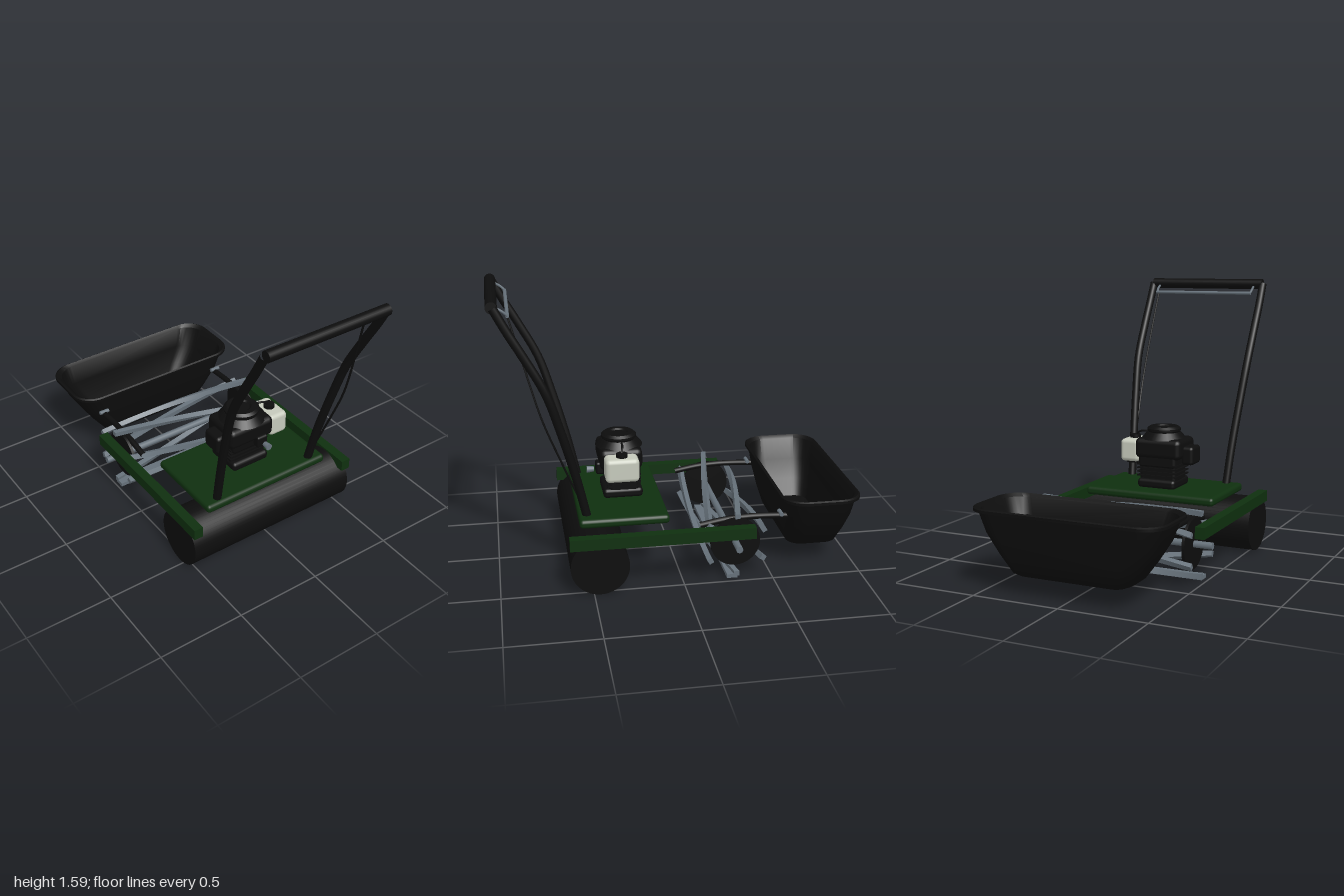
import * as THREE from 'three';
import { RoundedBoxGeometry } from 'three/addons/geometries/RoundedBoxGeometry.js';
import { toCreasedNormals } from 'three/addons/utils/BufferGeometryUtils.js';

const material = (name, color, side = THREE.FrontSide) => {
  const m = new THREE.MeshStandardMaterial({ color, side });
  m.name = name;
  return m;
};

export function createModel() {
  const model = new THREE.Group();
  model.name = 'reelMower';
  const black = material('black', 0x0d0d0d);
  const tubBlack = material('tubBlack', 0x0d0d0d, THREE.DoubleSide);
  const green = material('green', 0x0f300f);
  const steel = material('steel', 0x66717a);
  const white = material('tankWhite', 0xc6cabc);

  const add = (name, geo, mat, x = 0, y = 0, z = 0, parent = model) => {
    const mesh = new THREE.Mesh(geo, mat);
    mesh.name = name;
    mesh.position.set(x, y, z);
    parent.add(mesh);
    return mesh;
  };
  const box = (w, h, d, r = 0.01) => new RoundedBoxGeometry(w, h, d, 2, r);
  const cylX = (r, len, seg = 40) => new THREE.CylinderGeometry(r, r, len, seg).rotateZ(Math.PI / 2);
  const tube = (points, r, seg = 32, sides = 12) => new THREE.TubeGeometry(
    new THREE.CatmullRomCurve3(points.map(p => new THREE.Vector3(...p))), seg, r, sides);

  // Rear roller, deck and side rails
  add('roller', cylX(0.16, 1.07, 48), black, 0, 0.16, 0.465);
  add('deck', box(0.81, 0.05, 0.495, 0.02), green, 0, 0.353, 0.312);
  for (const s of [-1, 1]) {
    add('sideRail', new THREE.BoxGeometry(0.055, 0.065, 1.015), green, s * 0.512, 0.2975, 0.117);
  }

  // Handle: bowed legs joined by a thick grip
  for (const s of [-1, 1]) {
    add('handleLeg', tube([
      [s * 0.315, 0.36, 0.51], [s * 0.33, 0.6, 0.565], [s * 0.352, 0.88, 0.643], [s * 0.368, 1.1, 0.716],
      [s * 0.372, 1.3, 0.822], [s * 0.373, 1.44, 0.902], [s * 0.372, 1.56, 0.965]], 0.024), black);
    add('leverEnd', tube([[s * 0.32, 1.545, 0.94], [s * 0.32, 1.525, 0.91], [s * 0.315, 1.505, 0.89]], 0.007, 8, 8), steel);
  }
  add('handleGrip', cylX(0.031, 0.74, 24), black, 0, 1.56, 0.97);
  add('controlLever', cylX(0.01, 0.64, 12), steel, 0, 1.505, 0.89);
  add('controlCable', tube([
    [0.305, 1.5, 0.89], [0.325, 1.28, 0.83], [0.347, 0.95, 0.738], [0.34, 0.72, 0.65], [0.325, 0.5, 0.56]], 0.006, 24, 6), black);

  // Cutting reel: six box blades twisted about the axle
  const reel = new THREE.Group();
  reel.name = 'cuttingReel';
  reel.position.set(0, 0.21, -0.295);
  model.add(reel);
  add('axle', cylX(0.02, 1.1, 8), steel, 0, 0, 0, reel);
  const length = 0.98;
  for (let i = 0; i < 6; i++) {
    const geo = new THREE.BoxGeometry(length, 0.028, 0.03, 32, 1, 1);
    const p = geo.attributes.position;
    for (let v = 0; v < p.count; v++) {
      const a = (i + 0.5 + p.getX(v) / length) * Math.PI / 3;
      const r = 0.171 + p.getY(v), t = p.getZ(v);
      p.setXYZ(v, p.getX(v), r * Math.cos(a) - t * Math.sin(a), r * Math.sin(a) + t * Math.cos(a));
    }
    add('reelBlade', toCreasedNormals(geo, 0.6), steel, 0, 0, 0, reel);
  }
  for (const s of [-1, 1]) {
    add('reelDisc', cylX(0.14, 0.016), black, s * 0.435, 0, 0, reel);
  }
  add('bedKnife', new THREE.BoxGeometry(0.98, 0.022, 0.06), steel, 0, 0.026, -0.27);

  // Grass box: stacked rounded rectangles, rim rolled over to an inner wall
  const section = (w, d, r, y) => {
    const pts = [];
    for (let c = 0; c < 4; c++) {
      const sx = c === 0 || c === 3 ? 1 : -1, sz = c < 2 ? 1 : -1;
      for (let k = 0; k <= 8; k++) {
        const a = (c + k / 8) * Math.PI / 2;
        pts.push([sx * (w - r) + r * Math.cos(a), y, sz * (d - r) + r * Math.sin(a)]);
      }
    }
    return pts;
  };
  const rings = [
    [0.001, 0.001, 0.001, 0.105], [0.31, 0.125, 0.06, 0.105], [0.345, 0.145, 0.08, 0.12],
    [0.415, 0.172, 0.1, 0.215], [0.485, 0.192, 0.11, 0.325], [0.525, 0.208, 0.12, 0.435],
    [0.55, 0.225, 0.13, 0.44], [0.55, 0.225, 0.13, 0.455], [0.54, 0.216, 0.125, 0.461],
    [0.515, 0.2, 0.115, 0.445], [0.475, 0.183, 0.1, 0.325], [0.405, 0.163, 0.09, 0.215],
    [0.335, 0.135, 0.07, 0.125], [0.001, 0.001, 0.001, 0.12]].map(r => section(...r));
  const n = rings[0].length, index = [];
  for (let i = 0; i < rings.length - 1; i++) {
    for (let j = 0; j < n; j++) {
      const a = i * n + j, b = i * n + (j + 1) % n;
      index.push(a, a + n, b, b, a + n, b + n);
    }
  }
  const tub = new THREE.BufferGeometry();
  tub.setAttribute('position', new THREE.Float32BufferAttribute(rings.flat(2), 3));
  tub.setIndex(index);
  tub.computeVertexNormals();
  add('grassBox', toCreasedNormals(tub, 0.7), tubBlack, 0, 0, -0.775);

  // Arms carrying the grass box
  for (const s of [-1, 1]) {
    add('boxArm', tube([
      [s * 0.41, 0.31, -0.1], [s * 0.41, 0.335, -0.25], [s * 0.41, 0.343, -0.4], [s * 0.41, 0.335, -0.6]], 0.017), black);
    add('armBolt', cylX(0.012, 0.06, 10), steel, s * 0.41, 0.352, -0.555);
  }

  // Engine
  const engine = new THREE.Group();
  engine.name = 'engine';
  engine.position.set(0, 0, 0.29);
  model.add(engine);
  const part = (name, geo, mat, x, y, z) => add(name, geo, mat, x, y, z, engine);
  part('engineBase', box(0.24, 0.055, 0.225, 0.02), black, 0, 0.405, -0.005);
  part('crankcase', box(0.23, 0.13, 0.17, 0.02), black, 0, 0.475, -0.01);
  for (let i = 0; i < 4; i++) {
    part('coolingFin', new THREE.BoxGeometry(0.25, 0.008, 0.19), black, 0, 0.45 + i * 0.022, -0.01);
  }
  part('lowerShroud', box(0.24, 0.1, 0.21, 0.02), black, 0, 0.55, 0);
  part('shroud', box(0.29, 0.12, 0.24, 0.03), black, -0.005, 0.612, 0.005);
  part('shroudTop', new THREE.CylinderGeometry(0.1, 0.135, 0.04, 32), black, 0, 0.685, 0.005);
  const cap = [[0, 0], [0.09, 0], [0.1, 0.012], [0.1, 0.025], [0.085, 0.038], [0.055, 0.038], [0.045, 0.03], [0, 0.03]];
  part('starterCap', toCreasedNormals(new THREE.LatheGeometry(cap.map(c => new THREE.Vector2(...c)), 32), 0.6), black, 0, 0.7, 0.005);
  part('muffler', box(0.075, 0.11, 0.13, 0.02), black, -0.172, 0.575, 0.01);
  part('fuelTank', box(0.12, 0.135, 0.19, 0.025), white, 0.19, 0.587, 0.012);
  part('fuelCap', new THREE.CylinderGeometry(0.032, 0.032, 0.025, 24), black, 0.19, 0.662, 0.01);
  part('fuelHose', tube([[0.08, 0.7, 0], [0.13, 0.7, 0], [0.165, 0.69, 0.005], [0.185, 0.665, 0.01]], 0.006, 16, 8), black, 0, 0, 0);
  part('tankBracket', box(0.12, 0.012, 0.1, 0.004), black, 0.16, 0.515, 0);
  part('carburettor', box(0.07, 0.07, 0.05, 0.012), black, 0.05, 0.55, 0.12);
  part('pullHandle', new THREE.CylinderGeometry(0.02, 0.015, 0.04, 16).rotateX(Math.PI / 2), steel, 0.055, 0.54, 0.175);
  return model;
}
